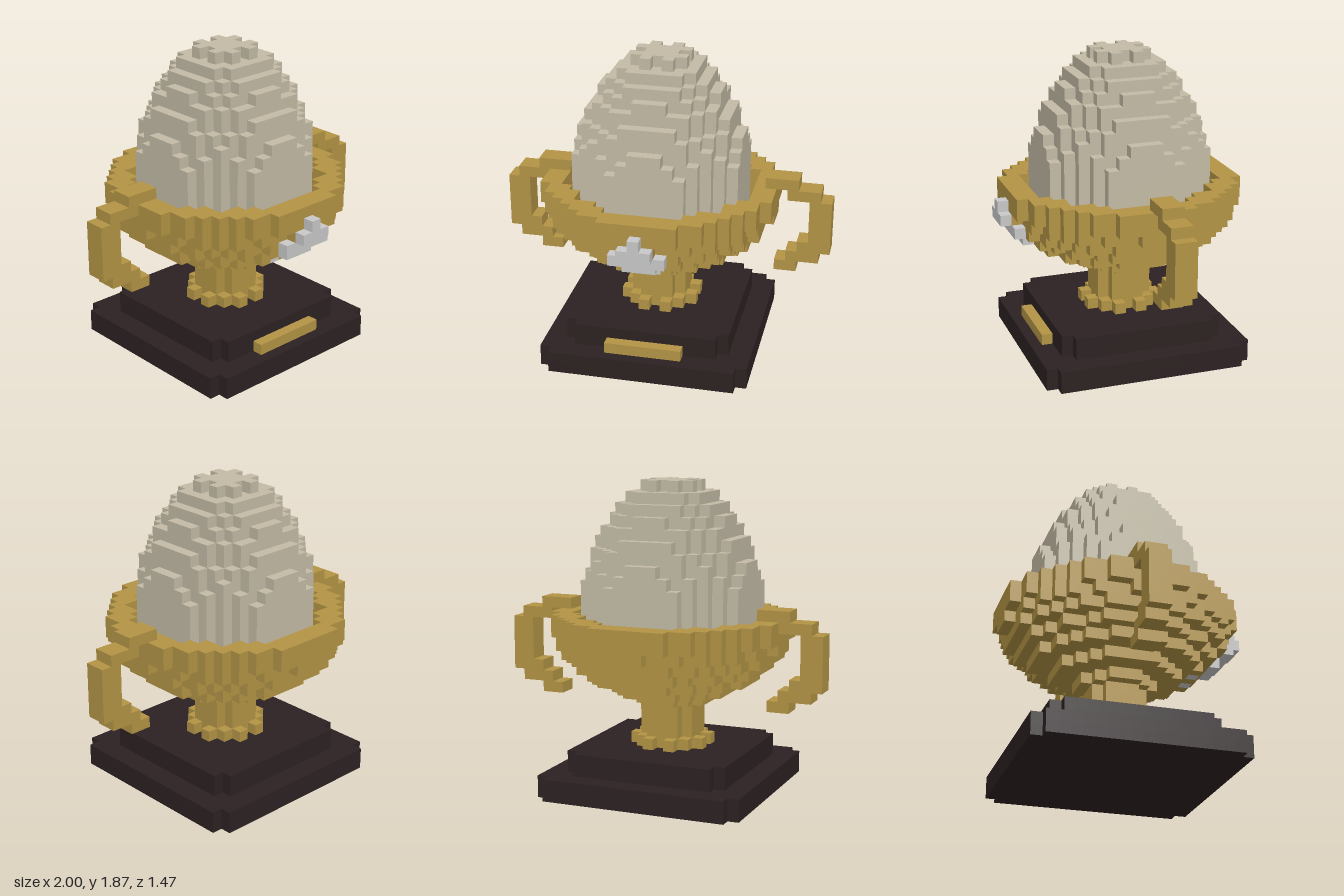
import * as THREE from 'three';

const U = 1 / 15; // cube size

const mats = {
  gold: new THREE.MeshStandardMaterial({ color: 0xb39445 }),
  shell: new THREE.MeshStandardMaterial({ color: 0xc3bba5 }),
  darkWood: new THREE.MeshStandardMaterial({ color: 0x2c2122 }),
  silver: new THREE.MeshStandardMaterial({ color: 0xc8c8c8 }),
};
for (const name in mats) mats[name].name = name;

const partMaterial = {
  base: 'darkWood', plaque: 'gold', stem: 'gold', bowl: 'gold',
  leftHandle: 'gold', rightHandle: 'gold', egg: 'shell', star: 'silver',
};

export function createModel() {
  const cells = new Map();
  const key = (i, j, k) => `${i},${j},${k}`;
  const put = (part, i, j, k) => cells.set(key(i, j, k), { part, i, j, k });

  function block(part, i0, i1, j0, j1, k0, k1, keep = () => true) {
    for (let i = i0; i <= i1; i++)
      for (let j = j0; j <= j1; j++)
        for (let k = k0; k <= k1; k++) if (keep(i, k)) put(part, i, j, k);
  }

  // One round layer; rr is the squared radius in cubes, hole the squared inner radius
  function disc(part, j, rr, hole = -1, keep = () => true) {
    block(part, -11, 11, j, j, -11, 11, (i, k) => {
      const d = i * i + k * k;
      return d <= rr && d > hole && keep(i, k);
    });
  }
  // Leaves out the middle cube of each of the four sides
  const notched = (n) => (i, k) => !((i === 0 && Math.abs(k) === n) || (k === 0 && Math.abs(i) === n));

  // Two-step base with clipped corners, and its plaque
  for (const [n, j] of [[9, 0], [7, 2]])
    block('base', -n, n, j, j + 1, -n, n, (i, k) => Math.abs(i) < n || Math.abs(k) < n);
  block('plaque', -3, 3, 2, 2, 8, 8);

  // Stem with a spreading foot and collar
  disc('stem', 4, 10, -1, notched(3));
  for (let j = 5; j <= 7; j++) disc('stem', j, 5);
  disc('stem', 8, 10);

  // Bowl: solid below, open rim above
  [30, 56, 73, 90].forEach((rr, n) => disc('bowl', 9 + n, rr));
  [102, 109, 110].forEach((rr, n) => disc('bowl', 13 + n, rr, 73));

  // Egg standing in the bowl
  [60, 60, 60, 60, 60, 60, 55, 51, 46, 40, 35, 28, 22, 15].forEach((rr, n) => disc('egg', 13 + n, rr));
  disc('egg', 27, 5, -1, notched(2));

  // Handles, as [row, first, last], mirrored
  const handle = [
    [8, 11, 12], [9, 12, 14], [10, 13, 15], [11, 14, 15], [12, 14, 15],
    [13, 14, 15], [14, 14, 15], [15, 12, 14], [16, 10, 12],
  ];
  for (const [j, a, b] of handle) {
    block('leftHandle', a, b, j, j, -1, 0);
    block('rightHandle', 1 - b, 1 - a, j, j, -1, 0);
  }

  // Star following the curve of the bowl
  block('star', 0, 0, 14, 14, 11, 11);
  block('star', -1, 1, 13, 13, 11, 11);
  block('star', -2, 2, 12, 12, 10, 10);
  block('star', -1, 1, 11, 11, 9, 9);
  block('star', -1, 1, 10, 10, 7, 7, (i) => i !== 0);

  // Keep only the faces of cubes that touch open air
  const surfaces = {};
  for (const part in partMaterial) surfaces[part] = { pos: [], nor: [] };
  for (const { part, i, j, k } of cells.values()) {
    const { pos, nor } = surfaces[part];
    const centre = [i - 0.5, j + 0.5, k - 0.5];
    for (let axis = 0; axis < 3; axis++) {
      for (const s of [-1, 1]) {
        const n = [0, 0, 0];
        n[axis] = s;
        if (cells.has(key(i + n[0], j + n[1], k + n[2]))) continue;
        const a = (axis + 1) % 3, b = (axis + 2) % 3;
        for (const [p, q] of [[-1, -1], [1, -1], [1, 1], [-1, -1], [1, 1], [-1, 1]]) {
          const v = [...centre];
          v[axis] += s / 2;
          v[a] += (p * s) / 2;
          v[b] += q / 2;
          pos.push(v[0] * U, v[1] * U, v[2] * U);
          nor.push(...n);
        }
      }
    }
  }

  const group = new THREE.Group();
  group.name = 'eggTrophy';
  for (const part in surfaces) {
    const geo = new THREE.BufferGeometry();
    geo.setAttribute('position', new THREE.Float32BufferAttribute(surfaces[part].pos, 3));
    geo.setAttribute('normal', new THREE.Float32BufferAttribute(surfaces[part].nor, 3));
    const mesh = new THREE.Mesh(geo, mats[partMaterial[part]]);
    mesh.name = part;
    group.add(mesh);
  }
  return group;
}
